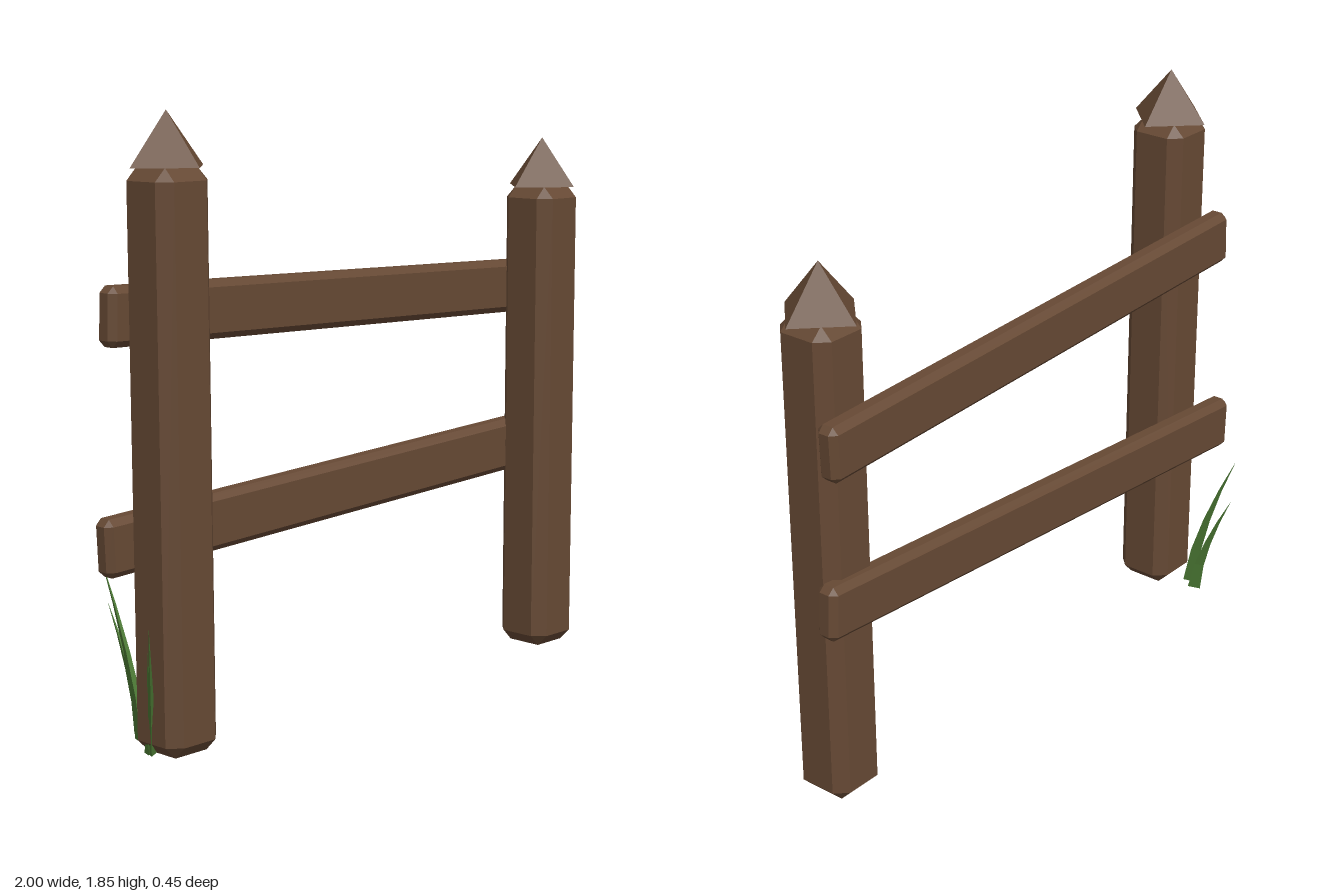
import * as THREE from 'three';

// Flat facets
function faceted(geometry) {
  const g = geometry.toNonIndexed();
  g.computeVertexNormals();
  return g;
}

// Box with every edge cut by a bevel c: square end, two octagon rings, square end
function bevelBox(w, h, d, c) {
  const corners = [[1, 1], [-1, 1], [-1, -1], [1, -1]];
  const x = w / 2, y = h / 2, z = d / 2;
  const square = (level) => corners.map(([sx, sy]) => [sx * (x - c), sy * (y - c), level]);
  const octagon = (level) => corners.flatMap(([sx, sy]) => {
    const side = [sx * x, sy * (y - c), level];
    const flat = [sx * (x - c), sy * y, level];
    return sx * sy > 0 ? [side, flat] : [flat, side];
  });
  const points = [...square(-z), ...octagon(c - z), ...octagon(z - c), ...square(z)];
  const index = [0, 2, 1, 0, 3, 2, 20, 21, 22, 20, 22, 23]; // both ends
  for (let i = 0; i < 8; i++) {
    const j = (i + 1) % 8;
    const low = 4, high = 12;
    index.push(low + i, low + j, high + j, low + i, high + j, high + i); // sides
    const p = i >> 1, q = j >> 1;
    index.push(p, low + j, low + i, 20 + p, high + i, high + j); // bevels
    if (p !== q) index.push(p, q, low + j, 20 + p, high + j, 20 + q);
  }
  const g = new THREE.BufferGeometry();
  g.setAttribute('position', new THREE.Float32BufferAttribute(points.flat(), 3));
  g.setIndex(index);
  return faceted(g);
}

// Three-sided tapering blade that leans over towards its tip
function bladeGeometry(base, tip, width, thick) {
  const height = tip[1] - base[1];
  const dx = tip[0] - base[0], dz = tip[2] - base[2];
  const g = new THREE.ConeGeometry(1, height, 3, 4);
  g.translate(0, height / 2, 0);
  g.scale(thick, 1, width);
  g.rotateY(Math.atan2(dx, dz));
  const p = g.attributes.position;
  for (let i = 0; i < p.count; i++) {
    const bend = Math.pow(Math.max(0, p.getY(i) / height), 1.45);
    p.setX(i, p.getX(i) + base[0] + dx * bend);
    p.setZ(i, p.getZ(i) + base[2] + dz * bend);
  }
  return faceted(g);
}

export function createModel() {
  const model = new THREE.Group();
  model.name = 'fence';

  const wood = new THREE.MeshStandardMaterial({ color: 0x664934 });
  wood.name = 'brown wood';
  const green = new THREE.MeshStandardMaterial({ color: 0x4c7a34 });
  green.name = 'grass green';

  const add = (name, geometry, material, parent = model) => {
    const mesh = new THREE.Mesh(geometry, material);
    mesh.name = name;
    parent.add(mesh);
    return mesh;
  };

  // Posts with pointed caps
  const posts = [
    { name: 'rightPost', x: -0.812, z: 0.102, h: 1.69, tilt: -0.008 },
    { name: 'leftPost', x: 0.857, z: 0.073, h: 1.553, tilt: 0 },
  ];
  for (const { name, x, z, h, tilt } of posts) {
    const post = new THREE.Group();
    post.name = name;
    post.position.set(x, 0, z);
    post.rotation.x = tilt;
    model.add(post);
    add(name + 'Shaft', bevelBox(0.196, h, 0.196, 0.038), wood, post).position.y = h / 2;
    const cap = faceted(new THREE.ConeGeometry(0.137, 0.158, 4));
    add(name + 'Cap', cap, wood, post).position.y = h + 0.079;
  }

  // Slanting rails behind the posts
  const rails = [
    { name: 'upperRail', a: [-0.952, 1.268, -0.03], b: [0.994, 1.206, -0.055] },
    { name: 'lowerRail', a: [-0.95, 0.592, -0.06], b: [0.992, 0.688, -0.022] },
  ];
  for (const { name, a, b } of rails) {
    const from = new THREE.Vector3(...a);
    const to = new THREE.Vector3(...b);
    const dir = to.clone().sub(from);
    const rail = add(name, bevelBox(dir.length(), 0.175, 0.075, 0.02), wood);
    rail.position.copy(from).add(to).multiplyScalar(0.5);
    rail.quaternion.setFromUnitVectors(new THREE.Vector3(1, 0, 0), dir.normalize());
  }

  // Grass at the foot of one post
  const blades = [
    [[-0.89, 0, 0.08], [-1.0, 0.42, 0.2], 0.026, 0.016],
    [[-0.895, 0, 0.07], [-0.918, 0.31, 0.1], 0.018, 0.012],
    [[-0.83, 0, -0.035], [-0.825, 0.525, -0.215], 0.03, 0.016],
    [[-0.8, 0, -0.075], [-0.797, 0.385, -0.22], 0.028, 0.016],
  ];
  const grass = new THREE.Group();
  grass.name = 'grass';
  model.add(grass);
  for (const [base, tip, width, thick] of blades) {
    add('grassBlade', bladeGeometry(base, tip, width, thick), green, grass);
  }

  return model;
}
